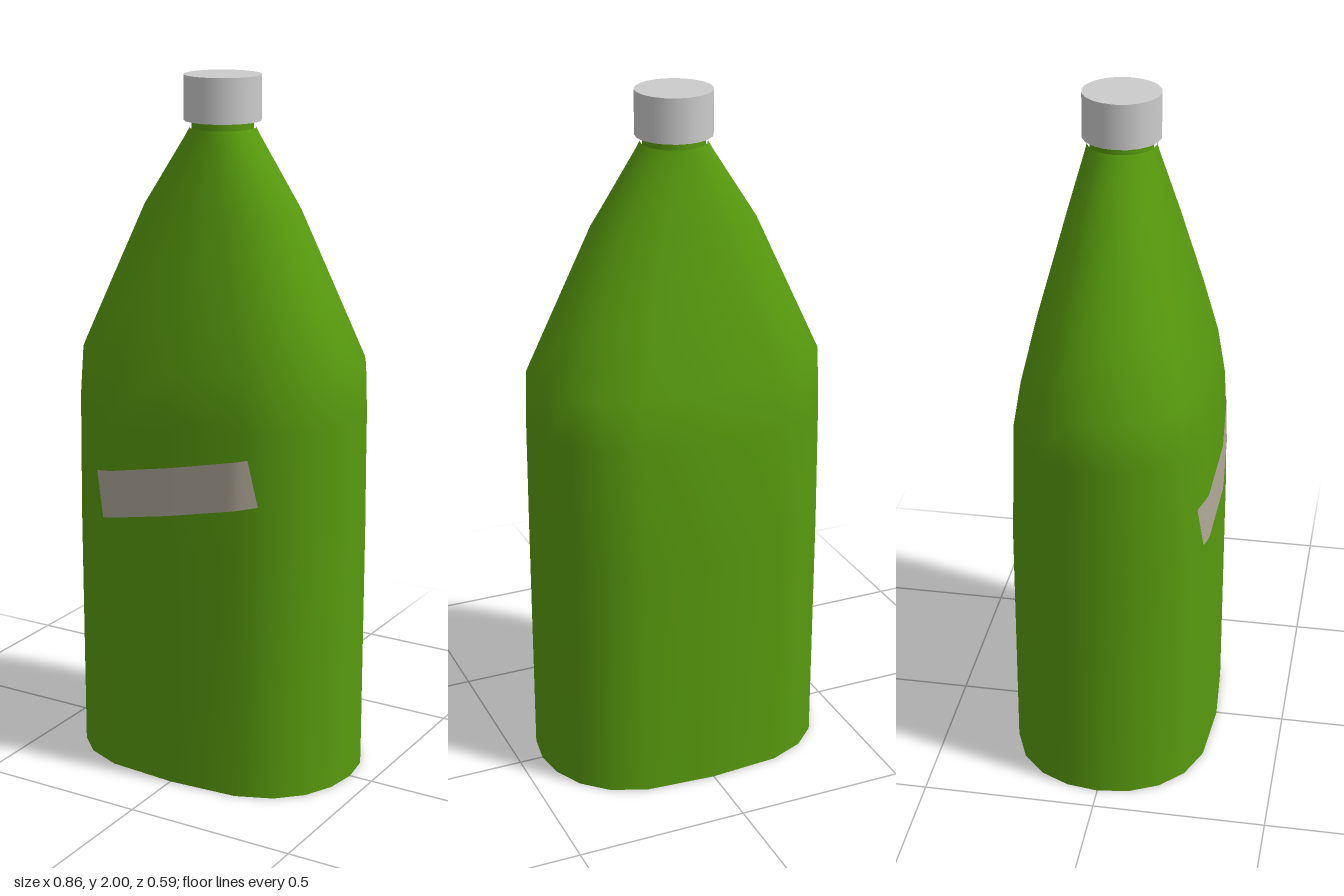
import * as THREE from 'three';

const SIDES = 20;
// Body sections: height, half width, half depth, squareness (1 = flattened oval, 0 = round)
const SECTIONS = [
  [0, 0.43, 0.297, 1], [0.72, 0.43, 0.297, 1], [1.08, 0.43, 0.285, 1], [1.22, 0.428, 0.26, 1],
  [1.4, 0.344, 0.219, 0.8], [1.63, 0.237, 0.157, 0.5], [1.83, 0.107, 0.1, 0.1], [1.855, 0.092, 0.094, 0],
];

// Point on a section outline: a circle whose x is swollen towards the corners
function outline([y, rx, rz, square], i) {
  const a = (i / SIDES) * Math.PI * 2;
  const c = Math.cos(a);
  const x = Math.sign(c) * Math.pow(Math.abs(c), 1 - 0.37 * square);
  return [rx * x, y, rz * Math.sin(a)];
}

// Lofted skin with smooth normals, plus a flat base with its own vertices
function bodyGeometry() {
  const positions = [], index = [];
  for (const section of SECTIONS) {
    for (let i = 0; i < SIDES; i++) positions.push(...outline(section, i));
  }
  for (let r = 0; r < SECTIONS.length - 1; r++) {
    for (let i = 0; i < SIDES; i++) {
      const a = r * SIDES + i, b = r * SIDES + ((i + 1) % SIDES);
      index.push(a, a + SIDES, b, b, a + SIDES, b + SIDES);
    }
  }
  const base = positions.length / 3;
  for (let i = 0; i < SIDES; i++) positions.push(...outline(SECTIONS[0], i));
  positions.push(0, 0, 0);
  for (let i = 0; i < SIDES; i++) index.push(base + SIDES, base + i, base + ((i + 1) % SIDES));
  const geometry = new THREE.BufferGeometry();
  geometry.setAttribute('position', new THREE.Float32BufferAttribute(positions, 3));
  geometry.setIndex(index);
  geometry.computeVertexNormals();
  return geometry;
}

// Front surface depth at (x, y) on the label area
function frontDepth(x, y) {
  const rz = THREE.MathUtils.mapLinear(THREE.MathUtils.clamp(y, 0.72, 1.08), 0.72, 1.08, 0.297, 0.285);
  const section = [y, 0.43, rz, 1];
  for (let i = 0; i < SIDES / 4; i++) {
    const p = outline(section, i), q = outline(section, i + 1);
    if (Math.abs(x) >= q[0]) return THREE.MathUtils.mapLinear(Math.abs(x), q[0], p[0], q[2], p[2]);
  }
  return rz;
}

// Tilted strip bent onto the front of the body
function labelGeometry() {
  const geometry = new THREE.PlaneGeometry(0.51, 0.135, 24, 4);
  geometry.rotateZ(0.215);
  geometry.translate(0, 0.88, 0);
  const p = geometry.attributes.position;
  for (let i = 0; i < p.count; i++) p.setZ(i, frontDepth(p.getX(i), p.getY(i)) + 0.004);
  geometry.computeVertexNormals();
  return geometry;
}

export function createModel() {
  const green = new THREE.MeshStandardMaterial({ name: 'green glass', color: 0x579a0e });
  const grey = new THREE.MeshStandardMaterial({ name: 'cap grey', color: 0xcccccc });
  const beige = new THREE.MeshStandardMaterial({ name: 'label beige', color: 0xb0a898, side: THREE.DoubleSide });

  const model = new THREE.Group();
  model.name = 'bottle';
  const add = (name, geometry, material, y = 0) => {
    const mesh = new THREE.Mesh(geometry, material);
    mesh.name = name;
    mesh.position.y = y;
    model.add(mesh);
  };

  add('body', bodyGeometry(), green);
  add('neck', new THREE.CylinderGeometry(0.087, 0.087, 0.06, SIDES), green, 1.865);
  add('cap', new THREE.CylinderGeometry(0.108, 0.108, 0.125, SIDES), grey, 1.9375);
  add('label', labelGeometry(), beige);
  return model;
}
